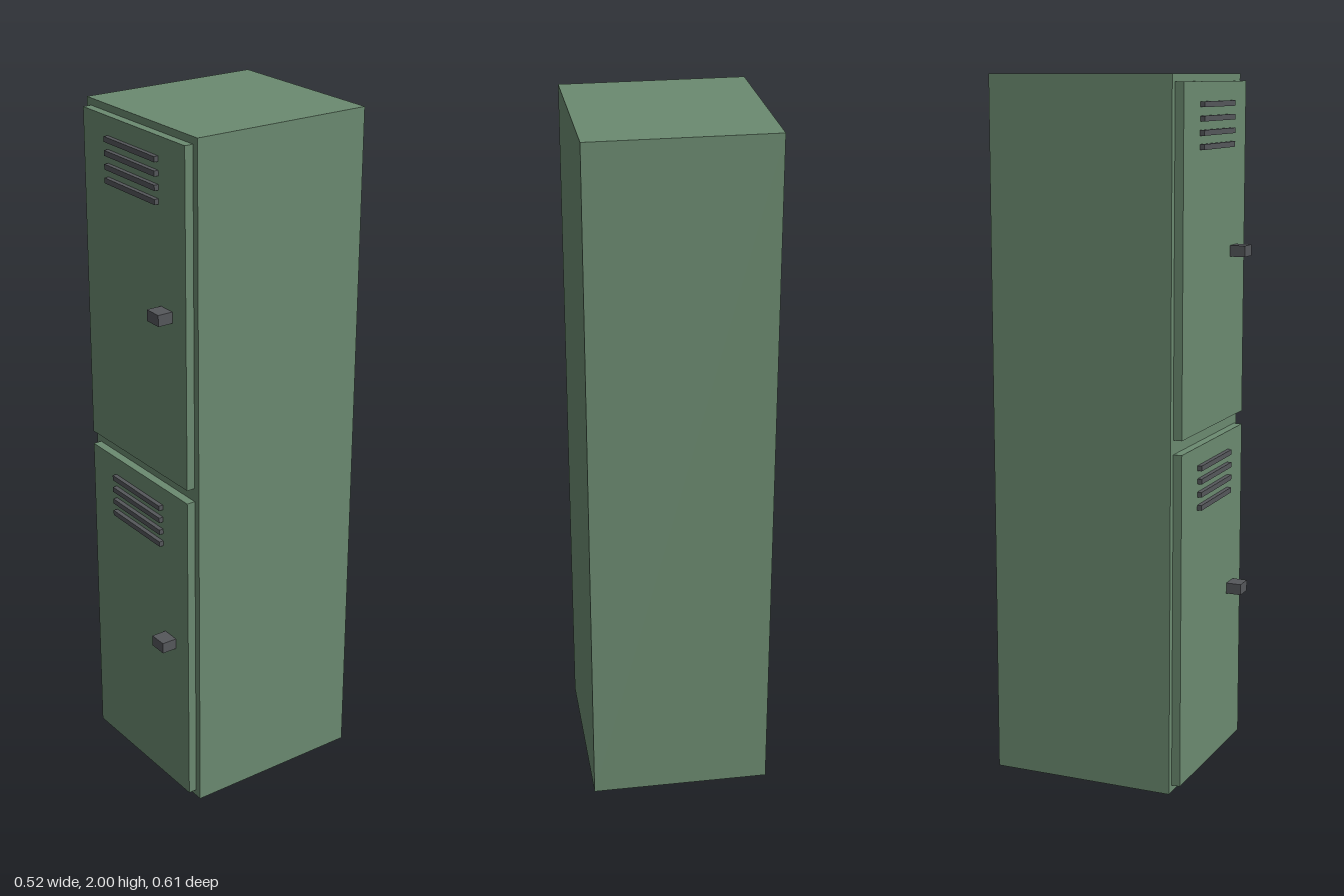
import * as THREE from 'three';

export function createModel() {
  const locker = new THREE.Group();
  locker.name = 'locker';
  const green = new THREE.MeshStandardMaterial({ color: 0x6b8a70 });
  green.name = 'green paint';
  const grey = new THREE.MeshStandardMaterial({ color: 0x55575b });
  grey.name = 'dark grey metal';

  // Box centred on x, y whose back face sits at zBack
  function box(parent, name, material, [w, h, d], [x, y, zBack]) {
    const mesh = new THREE.Mesh(new THREE.BoxGeometry(w, h, d), material);
    mesh.name = name;
    mesh.position.set(x, y, zBack + d / 2);
    parent.add(mesh);
  }

  box(locker, 'cabinet', green, [0.52, 2, 0.54], [0, 1, -0.305]);

  // Two stacked doors, each with vent slats and a latch
  ['lowerDoor', 'upperDoor'].forEach((name, i) => {
    const door = new THREE.Group();
    door.name = name;
    door.position.y = 0.5 + i;
    box(door, 'doorPanel', green, [0.48, 0.96, 0.025], [0, 0, 0.235]);
    for (let s = 0; s < 4; s++) {
      box(door, 'ventSlat', grey, [0.24, 0.015, 0.013], [0, 0.306 + s * 0.0378, 0.26]);
    }
    box(door, 'latch', grey, [0.054, 0.032, 0.045], [0.151, 0.004, 0.26]);
    locker.add(door);
  });

  return locker;
}
